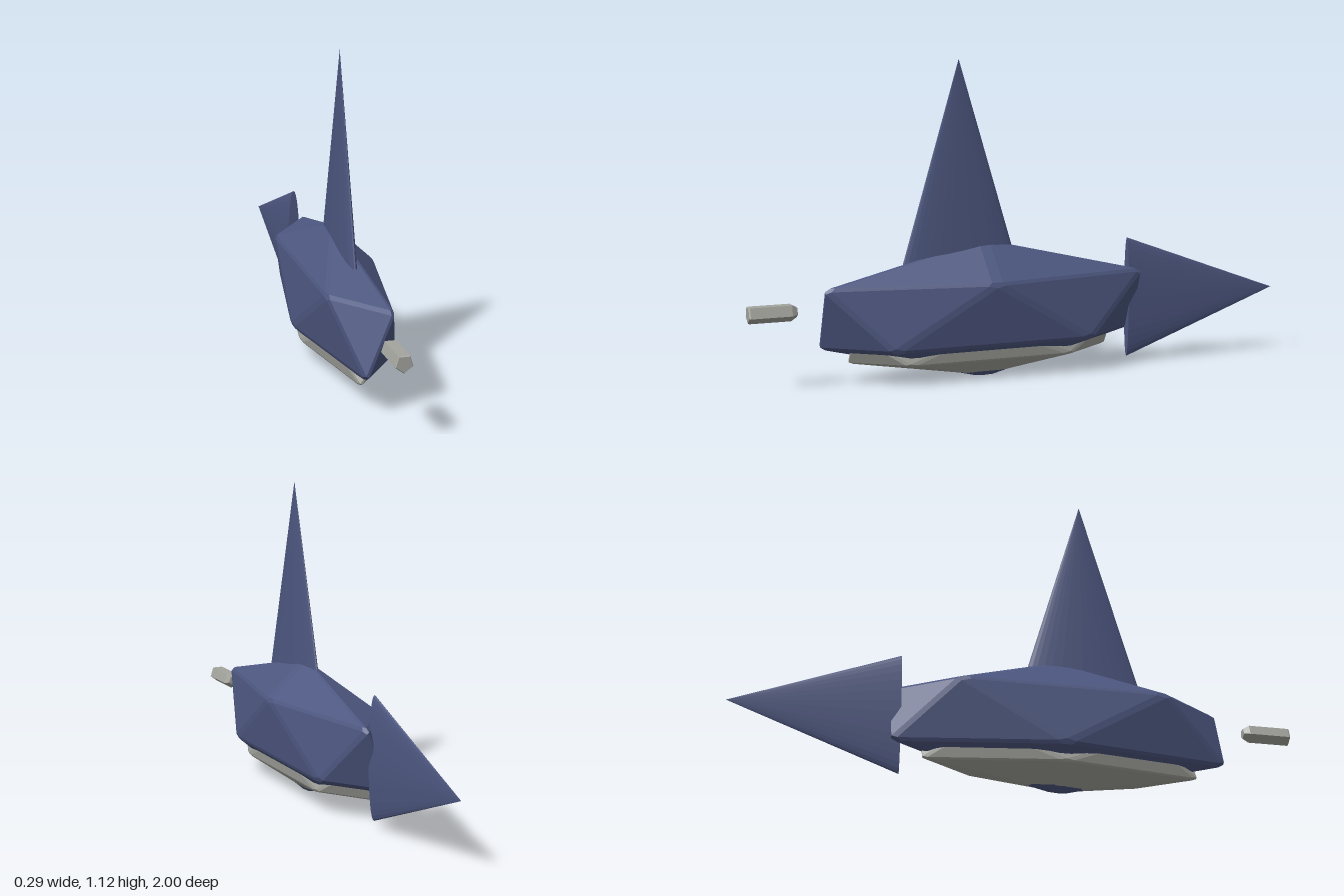
import * as THREE from 'three';
import { ConvexGeometry } from 'three/addons/geometries/ConvexGeometry.js';

const flat = (g) => {
  const f = g.index ? g.toNonIndexed() : g;
  f.computeVertexNormals();
  return f;
};

// Icosahedron standing on a vertex, every edge and corner chamfered by shrinking each face
function chamferedIcosahedron(inset) {
  const ring = (y, offset) => Array.from({ length: 5 }, (_, i) => {
    const a = (i + offset) * Math.PI * 0.4;
    return new THREE.Vector3(Math.cos(a) * 0.8944, y, Math.sin(a) * 0.8944);
  });
  const top = new THREE.Vector3(0, 1, 0), bottom = new THREE.Vector3(0, -1, 0);
  const upper = ring(0.4472, 0), lower = ring(-0.4472, 0.5);
  const points = [];
  const addFace = (...corners) => {
    const centre = new THREE.Vector3();
    corners.forEach((c) => centre.addScaledVector(c, 1 / 3));
    corners.forEach((c) => points.push(c.clone().lerp(centre, inset)));
  };
  for (let i = 0; i < 5; i++) {
    const j = (i + 1) % 5;
    addFace(top, upper[i], upper[j]);
    addFace(upper[i], lower[i], upper[j]);
    addFace(lower[i], lower[j], upper[j]);
    addFace(bottom, lower[i], lower[j]);
  }
  return new ConvexGeometry(points);
}

export function createModel() {
  const group = new THREE.Group();
  const blue = new THREE.MeshStandardMaterial({ color: 0x4d5780 });
  blue.name = 'slate blue';
  const grey = new THREE.MeshStandardMaterial({ color: 0xa5a59f });
  grey.name = 'pale grey';

  const add = (name, geometry, material, x, y, z) => {
    const mesh = new THREE.Mesh(flat(geometry), material);
    mesh.name = name;
    mesh.position.set(x, y, z);
    group.add(mesh);
  };

  // Long faceted body with a smaller belly hull below it
  add('body', chamferedIcosahedron(0.1).scale(0.166, 0.249, 0.702), blue, 0, 0.24, 0.15);
  add('belly', chamferedIcosahedron(0.1).scale(0.134, 0.132, 0.577), grey, 0, 0.132, 0.155);

  // Flattened cone fins
  add('dorsalFin', new THREE.ConeGeometry(1, 0.825, 32).scale(0.027, 1, 0.243),
    blue, 0, 0.3 + 0.825 / 2, 0.24);
  add('tailFin', new THREE.ConeGeometry(1, 0.595, 32).rotateX(-Math.PI / 2).scale(0.022, 0.22, 1),
    blue, 0, 0.243, -0.405 - 0.595 / 2);

  // Five-sided rod floating ahead of the nose, chamfered at its rear end
  const profile = [[0, 0], [0.019, 0], [0.032, 0.02], [0.032, 0.165], [0.029, 0.17], [0, 0.17]]
    .map(([r, h]) => new THREE.Vector2(r, h));
  add('noseRod', new THREE.LatheGeometry(profile, 5).rotateX(Math.PI / 2), grey, 0, 0.276, 0.83);

  return group;
}
